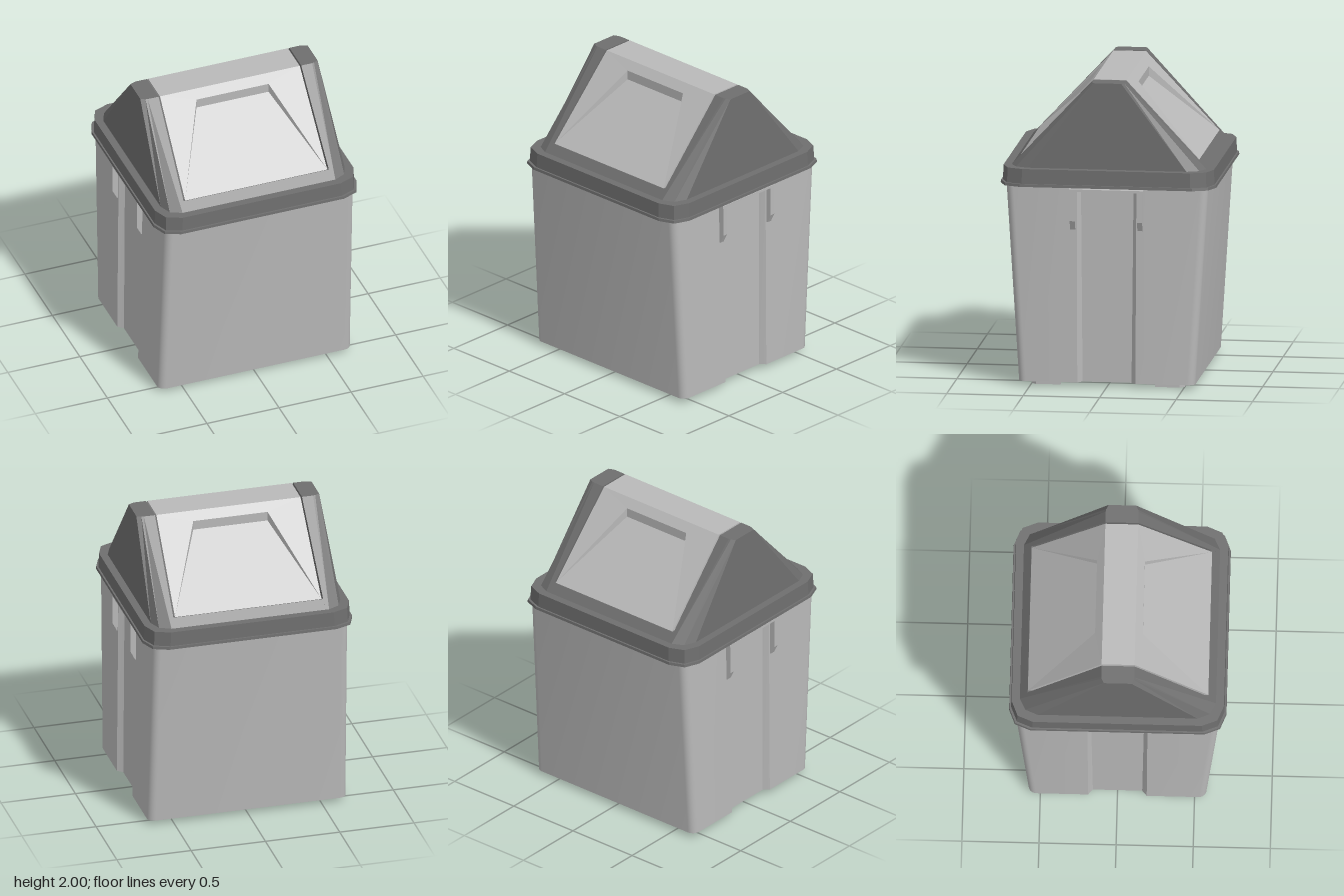
import * as THREE from 'three';
import { toCreasedNormals } from 'three/addons/utils/BufferGeometryUtils.js';

const mat = (name, color) => {
  const m = new THREE.MeshStandardMaterial({ color });
  m.name = name;
  return m;
};

// Geometry from flat faces, each a list of convex corner points
function faces(list) {
  const pos = [];
  for (const f of list)
    for (let i = 1; i < f.length - 1; i++) pos.push(...f[0], ...f[i], ...f[i + 1]);
  const g = new THREE.BufferGeometry();
  g.setAttribute('position', new THREE.Float32BufferAttribute(pos, 3));
  g.computeVertexNormals();
  return g;
}

// Closed solid between two [x, z] loops at heights y0 and y1
function loft(low, y0, high, y1) {
  const a = low.map(([x, z]) => [x, y0, z]);
  const b = high.map(([x, z]) => [x, y1, z]);
  const list = a.map((p, i) => {
    const j = (i + 1) % a.length;
    return [p, a[j], b[j], b[i]];
  });
  const tris = (loop) => THREE.ShapeUtils.triangulateShape(loop.map(([x, z]) => new THREE.Vector2(x, -z)), []);
  for (const [i, j, k] of tris(low)) list.push([a[i], a[k], a[j]]);
  for (const [i, j, k] of tris(high)) list.push([b[i], b[j], b[k]]);
  return faces(list);
}

// Mirror points running front to side into a half or a full loop
const half = (q) => [...q, ...q.map(([x, z]) => [x, -z]).reverse()];
const ring = (q) => [...half(q), ...half(q).map(([x, z]) => [-x, -z])];

export function createModel() {
  const root = new THREE.Group();
  const light = mat('lightGrey', 0xb9b9b9);
  const dark = mat('darkGrey', 0x6e6e6e);
  const add = (name, geo, material, turn = 0) => {
    const m = new THREE.Mesh(geo, material);
    m.name = name;
    m.rotation.y = turn;
    root.add(m);
    return m;
  };

  // Tapered body with rounded corners and a channel down each side
  const bodyLoop = (a, b, r, outer, inner) => {
    const q = [];
    for (let i = 0; i <= 6; i++) {
      const t = (i / 6) * Math.PI / 2;
      q.push([a - r + r * Math.sin(t), b - r + r * Math.cos(t)]);
    }
    q.push([a, outer], [a - 0.035, inner]);
    return ring(q);
  };
  const body = loft(bodyLoop(0.668, 0.577, 0.05, 0.19, 0.16), 0.03,
    bodyLoop(0.656, 0.66, 0.05, 0.195, 0.172), 1.325);
  add('body', toCreasedNormals(body, 0.4), light);

  // L-shaped feet
  const foot = [[0.42, 0.5], [0.57, 0.5], [0.6, 0.47], [0.6, 0.31],
    [0.57, 0.31], [0.57, 0.45], [0.55, 0.47], [0.42, 0.47]];
  for (const sx of [1, -1]) for (const sz of [1, -1]) {
    const loop = foot.map(([x, z]) => [x * sx, z * sz]);
    if (sx * sz < 0) loop.reverse();
    add('foot', loft(loop, 0, loop, 0.031), light);
  }

  // Side handles: two hooked legs joined by a thin bar
  const leg = new THREE.Shape([[0.63, 1.31], [0.63, 1.04], [0.665, 1.04], [0.695, 1.1], [0.695, 1.31]]
    .map((p) => new THREE.Vector2(...p)));
  for (const turn of [0, Math.PI]) {
    for (const z of [0.203, -0.237]) {
      const g = new THREE.ExtrudeGeometry(leg, { depth: 0.034, bevelEnabled: false });
      add('handleLeg', g.translate(0, 0, z), light, turn);
    }
    const bar = new THREE.BoxGeometry(0.085, 0.016, 0.484);
    add('handleBar', bar.translate(0.6525, 1.302, 0), light, turn);
  }

  // Lid flange and rim
  const oct = (h) => ring([[h - 0.14, h], [h - 0.04, h - 0.04], [h, h - 0.14]]);
  add('rimFlange', loft(oct(0.705), 1.32, oct(0.703), 1.338), dark);
  add('rim', loft(oct(0.692), 1.338, oct(0.688), 1.435), dark);

  // Hood ends and the low sills between them
  const hoodLow = half([[0.505, 0.637], [0.53, 0.637], [0.605, 0.6], [0.638, 0.52]]);
  const hoodTop = half([[0.495, 0.107], [0.57, 0.107], [0.585, 0.104], [0.615, 0.09]]);
  const sill = (z) => [[-0.506, z], [0.506, z], [0.506, 0.53], [-0.506, 0.53]];
  for (const turn of [0, Math.PI]) {
    add('hoodEnd', loft(hoodLow, 1.434, hoodTop, 2), dark, turn);
    add('hoodSill', loft(sill(0.637), 1.434, sill(0.586), 1.488), dark, turn);
  }

  // Swing lid, made of two halves, each with a wedge-shaped push recess
  const pair = (x, y, z) => [[-x, y, z], [x, y, z]];
  const [aL, aR] = pair(0.493, 1.49, 0.585); // lower edge
  const [tL, tR] = pair(0.485, 2, 0.107);    // ridge edge
  const [mL, mR] = pair(0.485, 2, 0);        // ridge middle
  const [bL, bR] = pair(0.493, 1.49, 0);     // underside middle
  const [rL, rR] = pair(0.25, 1.947, 0.155); // recess upper edge
  const [iL, iR] = pair(0.25, 1.885, 0.155); // recess inner edge
  const lid = faces([
    [aR, tR, rR], [aL, rL, tL], [rL, rR, tR, tL], [tL, tR, mR, mL],
    [aR, rR, iR], [aL, iL, rL], [iL, iR, rR, rL], [aL, aR, iR, iL],
    [aR, bR, mR, tR], [aL, tL, mL, bL], [bL, bR, aR, aL],
  ]);
  for (const turn of [0, Math.PI]) add('swingLid', lid, light, turn);

  return root;
}
